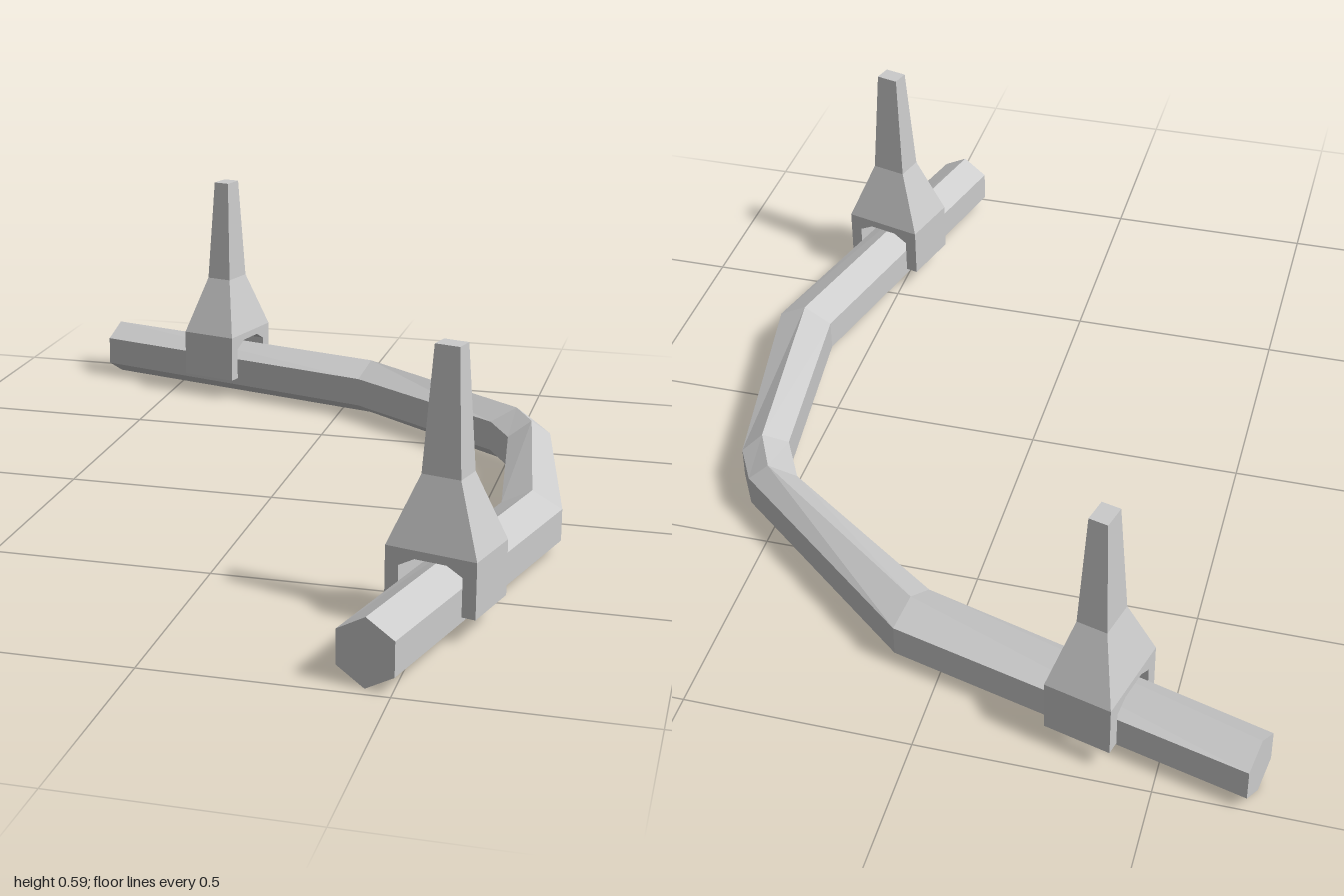
import * as THREE from 'three';

const material = new THREE.MeshStandardMaterial({ color: 0xcccccc, flatShading: true });

// Skin a closed, capped solid through equally sized rings of [x, y, z]
function loft(rings) {
  const n = rings[0].length, index = [];
  for (let r = 0; r < rings.length - 1; r++) {
    for (let i = 0; i < n; i++) {
      const a = r * n + i, b = r * n + (i + 1) % n;
      index.push(a, b, b + n, a, b + n, a + n);
    }
  }
  const last = (rings.length - 1) * n;
  for (let i = 1; i < n - 1; i++) {
    index.push(0, i + 1, i, last, last + i, last + i + 1);
  }
  const geometry = new THREE.BufferGeometry();
  geometry.setAttribute('position', new THREE.Float32BufferAttribute(rings.flat(2), 3));
  geometry.setIndex(index);
  const flat = geometry.toNonIndexed();
  flat.computeVertexNormals();
  return flat;
}

function addMesh(parent, name, geometry) {
  const mesh = new THREE.Mesh(geometry, material);
  mesh.name = name;
  parent.add(mesh);
}

// Bent hexagonal rail: outer x, z, inner x, z, and ridge position from inner to outer
function railGeometry() {
  const sections = [
    [-0.69, -1.0, -0.72, -0.885, 0.5],
    [0.1, -0.795, 0.06, -0.665, 0.5],
    [0.565, -0.42, 0.46, -0.385, 0.58],
    [0.615, -0.33, 0.52, -0.275, 0.55],
    [0.712, 0.2, 0.577, 0.19, 0.5],
    [0.505, 0.99, 0.385, 0.96, 0.5],
  ];
  return loft(sections.map(([ox, oz, ix, iz, t]) => {
    const rx = ix + (ox - ix) * t, rz = iz + (oz - iz) * t;
    return [
      [rx, 0.145, rz], [ix, 0.109, iz], [ix, 0.036, iz],
      [rx, 0, rz], [ox, 0.036, oz], [ox, 0.109, oz],
    ];
  }));
}

// Bracket that straddles the rail: local x runs along it, z across it
function createBracket(name, x, z, angle) {
  const bracket = new THREE.Group();
  bracket.name = name;

  const arch = new THREE.Shape([
    [-0.1, 0.055], [-0.07, 0.055], [-0.07, 0.138], [-0.035, 0.157],
    [0.035, 0.157], [0.07, 0.138], [0.07, 0.055], [0.1, 0.055],
    [0.1, 0.175], [-0.1, 0.175],
  ].map(p => new THREE.Vector2(...p)));
  const clamp = new THREE.ExtrudeGeometry(arch, { depth: 0.15, bevelEnabled: false });
  clamp.translate(0, 0, -0.075);
  clamp.rotateY(Math.PI / 2);
  addMesh(bracket, 'clamp', clamp);

  // Tapered post: half length, height, half width
  const levels = [[0.075, 0.175, 0.1], [0.034, 0.322, 0.043], [0.021, 0.587, 0.027]];
  addMesh(bracket, 'post', loft(levels.map(([a, y, b]) =>
    [[-a, y, b], [a, y, b], [a, y, -b], [-a, y, -b]])));

  bracket.position.set(x, 0, z);
  bracket.rotation.y = -angle;
  return bracket;
}

export function createModel() {
  const model = new THREE.Group();
  model.name = 'bentRailWithPosts';
  addMesh(model, 'rail', railGeometry());
  const tilt = 0.257;
  model.add(createBracket('backBracket', -0.359, -0.854, tilt));
  model.add(createBracket('frontBracket', 0.534, 0.632, Math.PI / 2 + tilt));
  return model;
}
